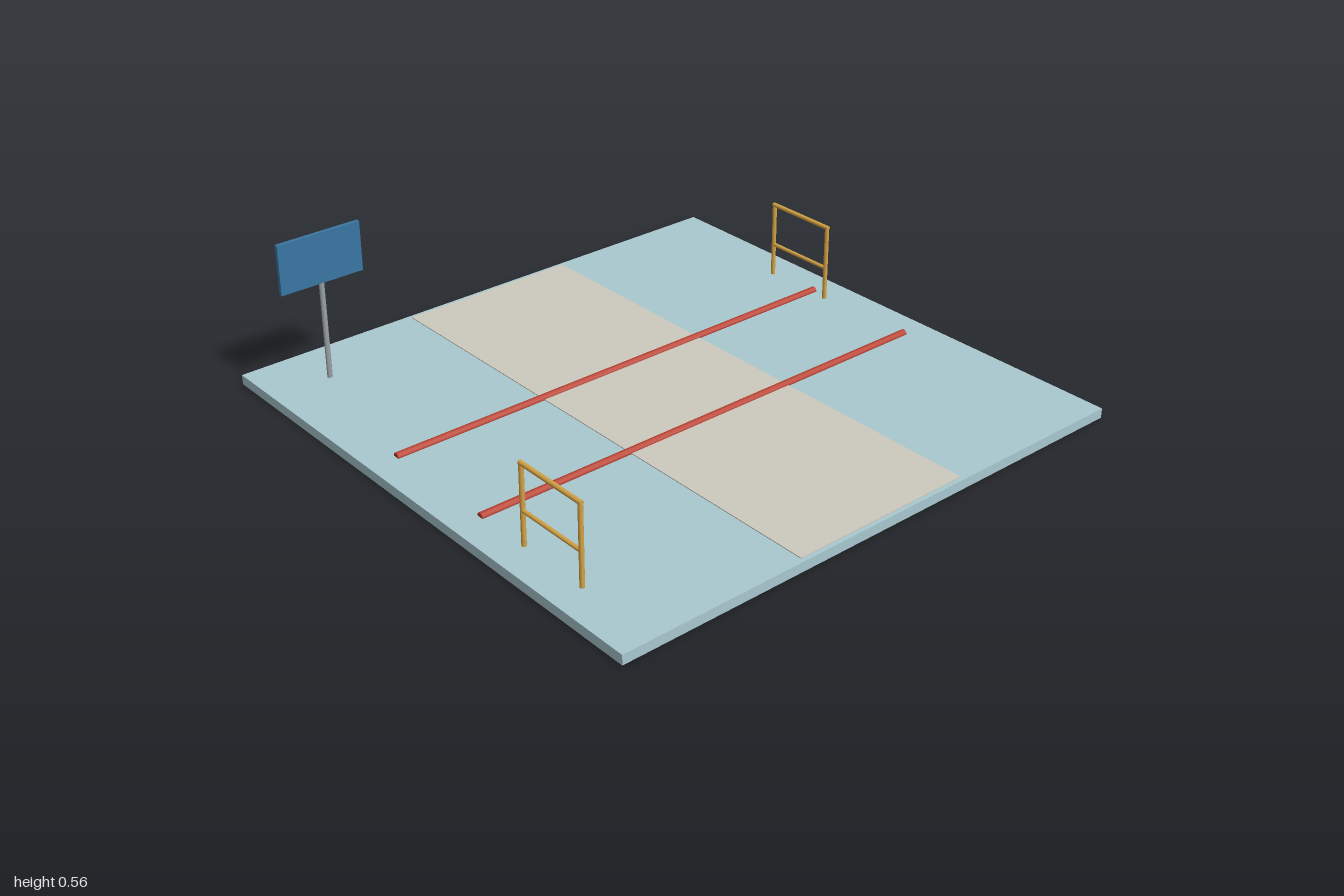
import * as THREE from 'three';

export function createModel() {
  const model = new THREE.Group();
  model.name = 'crossing';

  const material = (name, color) => {
    const m = new THREE.MeshStandardMaterial({ color });
    m.name = name;
    return m;
  };
  const paleBlue = material('pale blue ground', 0xa9c8d0);
  const sand = material('sand path', 0xcdc9bd);
  const red = material('red pipe', 0xb9402f);
  const yellow = material('ochre railing', 0xd6a445);
  const blue = material('blue sign', 0x3a76a4);
  const grey = material('grey metal', 0x9aa3a7);

  const add = (parent, name, geometry, mat, x, y, z) => {
    const mesh = new THREE.Mesh(geometry, mat);
    mesh.name = name;
    mesh.position.set(x, y, z);
    parent.add(mesh);
    return mesh;
  };
  const box = (w, h, d) => new THREE.BoxGeometry(w, h, d);
  const rod = (r, length) => new THREE.CylinderGeometry(r, r, length, 12);

  // Ground slab and slightly raised path strip
  const top = 0.035;
  add(model, 'groundSlab', box(2, 0.0345, 2), paleBlue, 0, 0.01775, 0);
  add(model, 'path', box(0.67, 0.008, 1.97), sand, 0, 0.034, 0);

  // Two long pipes half sunk into the ground
  for (const z of [-0.222, 0.222]) {
    add(model, 'pipe', rod(0.0135, 1.8), red, 0, 0.0365, z).rotation.z = Math.PI / 2;
  }

  // Side railings: two posts, a top bar and a middle bar
  const railing = (name, x, z) => {
    const g = new THREE.Group();
    g.name = name;
    g.position.set(x, 0, z);
    model.add(g);
    for (const s of [-1, 1]) {
      add(g, 'post', rod(0.008, 0.29), yellow, 0, 0.165, s * 0.134);
    }
    add(g, 'topBar', rod(0.008, 0.28), yellow, 0, 0.311, 0).rotation.x = Math.PI / 2;
    add(g, 'middleBar', rod(0.007, 0.268), yellow, 0, 0.154, 0).rotation.x = Math.PI / 2;
  };
  railing('rightRailing', -0.89, 0.558);
  railing('leftRailing', 0.885, -0.288);

  // Sign board on a pole, with its foot set into the slab
  const sign = new THREE.Group();
  sign.name = 'sign';
  sign.position.set(-0.782, 0, -0.8);
  model.add(sign);
  add(sign, 'foot', new THREE.CylinderGeometry(0.035, 0.035, 0.02, 12), blue, 0, 0.01, 0);
  add(sign, 'pole', rod(0.009, 0.56 - 0.01), grey, 0, 0.284, 0);
  add(sign, 'board', box(0.304, 0.176, 0.014), blue, 0, 0.473, 0.003);

  return model;
}
